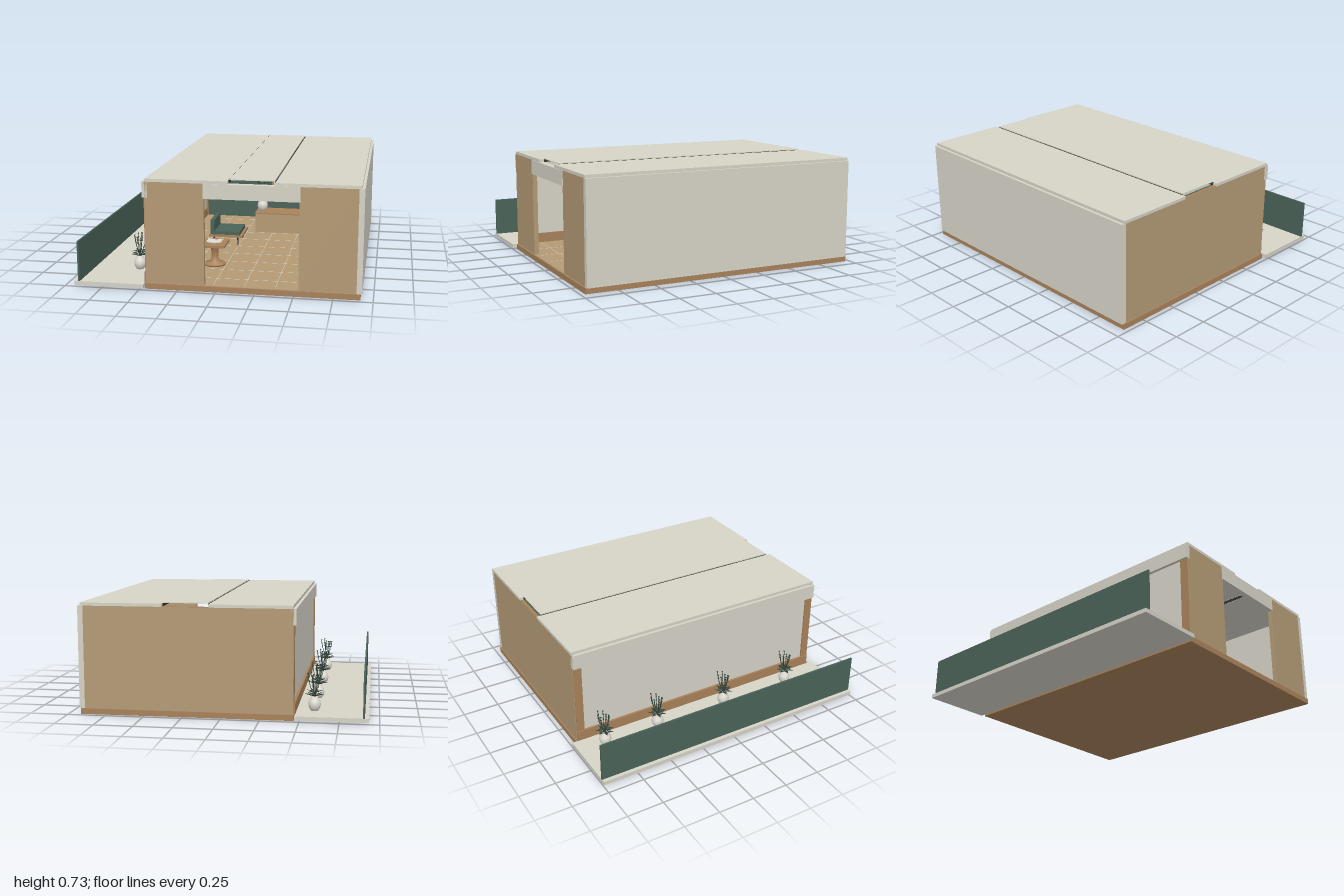
import * as THREE from 'three';

const mat = (name, color, side = THREE.FrontSide) => {
  const m = new THREE.MeshStandardMaterial({ color, side });
  m.name = name;
  return m;
};

export function createModel() {
  const root = new THREE.Group();
  root.name = 'pavilion';
  const stone = mat('pale stone', 0xd6d3c7);
  const tan = mat('tan panel', 0xb39a75);
  const wood = mat('wood', 0xa8825a);
  const green = mat('deep green', 0x4a6358);
  const leafMat = mat('leaf green', 0x34463d, THREE.DoubleSide);
  const white = mat('porcelain', 0xdedbd2);
  const dark = mat('dark metal', 0x33352f);

  const add = (parent, name, geo, material, x = 0, y = 0, z = 0) => {
    const m = new THREE.Mesh(geo, material);
    m.name = name;
    m.position.set(x, y, z);
    parent.add(m);
    return m;
  };
  // box given by its min and max on each axis
  const box = (name, material, x0, x1, y0, y1, z0, z1, parent = root) =>
    add(parent, name, new THREE.BoxGeometry(x1 - x0, y1 - y0, z1 - z0), material,
      (x0 + x1) / 2, (y0 + y1) / 2, (z0 + z1) / 2);

  // base, floor joints and terrace
  box('base', wood, -0.465, 0.92, 0, 0.037, -0.97, 0.97);
  box('floor', tan, -0.44, 0.89, 0.037, 0.04, -0.93, 0.965);
  for (let i = 0; i < 6; i++) {
    const x = -0.22 + i * 0.2;
    box('floorJoint', stone, x - 0.0015, x + 0.0015, 0.04, 0.041, -0.9, 0.93);
  }
  for (let i = 0; i < 9; i++) {
    const z = -0.8 + i * 0.2;
    box('floorJoint', stone, -0.43, 0.88, 0.04, 0.041, z - 0.0015, z + 0.0015);
  }
  box('terrace', stone, -0.935, -0.47, 0.01, 0.037, -1, 1);
  box('terraceScreen', green, -0.909, -0.897, 0.037, 0.305, -1, 1);

  // outer walls
  box('sideWall', stone, 0.895, 0.93, 0.037, 0.707, -0.962, 0.962);
  box('backWall', tan, -0.46, 0.895, 0.037, 0.707, -0.962, -0.94);
  box('backWallCap', wood, 0.075, 0.38, 0.707, 0.709, -0.962, -0.938);
  box('frontWall', tan, -0.46, -0.075, 0.037, 0.707, 0.93, 0.962);
  box('frontWall', tan, 0.53, 0.895, 0.037, 0.707, 0.93, 0.962);
  box('doorHeader', stone, -0.08, 0.535, 0.61, 0.707, 0.925, 0.967);

  // terrace side: header, sill, posts and window panel
  box('windowHeader', stone, -0.477, -0.44, 0.605, 0.707, -0.962, 0.962);
  box('windowSill', wood, -0.472, -0.44, 0.037, 0.108, -0.955, 0.955);
  for (const z of [-0.93, 0.93])
    box('windowPost', wood, -0.465, -0.435, 0.037, 0.607, z - 0.028, z + 0.028);
  box('windowPanel', stone, -0.456, -0.45, 0.105, 0.61, -0.905, 0.905);

  // roof slabs with a raised strip over the slot
  box('roofSlab', stone, -0.457, 0.078, 0.707, 0.727, -0.967, 0.962);
  box('roofSlab', stone, 0.377, 0.912, 0.707, 0.727, -0.967, 0.962);
  for (const x of [0.08, 0.375])
    box('slotTrim', dark, x - 0.003, x + 0.003, 0.709, 0.728, -0.938, 0.93);
  box('skylightPanel', stone, 0.084, 0.371, 0.729, 0.734, -0.937, 0.932);

  // inner feature wall and framed landscape
  box('featureWall', green, -0.44, 0.895, 0.04, 0.706, -0.939, -0.92);
  const picture = new THREE.Group();
  picture.name = 'picture';
  picture.position.set(0.23, 0.383, -0.92);
  root.add(picture);
  for (const s of [-1, 1]) {
    box('frameSide', wood, s * 0.114 - 0.007, s * 0.114 + 0.007, -0.15, 0.15, 0, 0.02, picture);
    box('frameRail', wood, -0.107, 0.107, s * 0.143 - 0.007, s * 0.143 + 0.007, 0, 0.02, picture);
  }
  box('canvas', white, -0.107, 0.107, -0.136, 0.136, 0, 0.008, picture);
  const hills = new THREE.Shape([[-0.107, -0.065], [-0.07, -0.05], [-0.03, -0.045], [0.01, -0.01],
    [0.05, 0.005], [0.107, -0.03], [0.107, -0.075], [0.06, -0.062], [0.02, -0.075],
    [-0.03, -0.06], [-0.07, -0.075]].map(p => new THREE.Vector2(...p)));
  add(picture, 'paintedHills', new THREE.ShapeGeometry(hills), green, 0, 0, 0.0095);

  // reception desk
  box('deskBody', tan, 0.045, 0.412, 0.04, 0.188, -0.6, -0.42);
  box('deskTop', wood, 0.04, 0.417, 0.188, 0.196, -0.605, -0.415);

  // seats on both sides
  for (const s of [-1, 1]) {
    const seat = new THREE.Group();
    seat.name = 'seat';
    seat.position.set(0.23 + s * 0.345, 0.04, -0.12);
    root.add(seat);
    box('seatBoard', wood, -0.125, 0.125, 0.065, 0.08, -0.13, 0.13, seat);
    box('seatCushion', green, -0.105, 0.105, 0.08, 0.105, -0.12, 0.12, seat);
    box('seatBack', green, s * 0.1 - 0.015, s * 0.1 + 0.015, 0.08, 0.19, -0.12, 0.12, seat);
    for (const x of [-0.09, 0.09]) for (const z of [-0.11, 0.11])
      add(seat, 'seatLeg', new THREE.CylinderGeometry(0.006, 0.004, 0.066, 8), dark, x, 0.033, z);
  }

  // pedestal table with an open book
  const table = new THREE.Group();
  table.name = 'table';
  table.position.set(-0.1, 0.04, 0.485);
  root.add(table);
  const pedestal = [[0, 0], [0.075, 0], [0.075, 0.012], [0.03, 0.025], [0.022, 0.07], [0.028, 0.12], [0.05, 0.142], [0, 0.142]];
  add(table, 'tablePedestal', new THREE.LatheGeometry(pedestal.map(p => new THREE.Vector2(...p)), 24), wood);
  box('tableTop', wood, -0.085, 0.085, 0.142, 0.158, -0.1, 0.1, table);
  for (const s of [-1, 1]) {
    const page = box('bookPage', white, -0.026, 0.026, 0, 0.006, -0.04, 0.04, table);
    page.position.set(s * 0.026, 0.166, 0);
    page.rotation.z = s * 0.15;
  }

  // potted plants
  const vaseGeo = new THREE.LatheGeometry([[0, 0], [0.024, 0], [0.036, 0.02], [0.041, 0.042], [0.036, 0.065],
    [0.022, 0.084], [0.024, 0.094], [0.018, 0.094], [0.016, 0.08], [0, 0.08]].map(p => new THREE.Vector2(...p)), 24);
  // pointed leaf folded along its midrib, growing along +z
  const leafGeo = new THREE.BufferGeometry();
  leafGeo.setAttribute('position', new THREE.Float32BufferAttribute(
    [0, 0, 0, -0.012, 0.018, 0.035, 0, 0.012, 0.036, 0.012, 0.018, 0.035, 0, 0.022, 0.07], 3));
  leafGeo.setIndex([0, 2, 1, 0, 3, 2, 1, 2, 4, 2, 3, 4]);
  leafGeo.computeVertexNormals();
  const budGeo = new THREE.SphereGeometry(0.005, 6, 4);

  const plant = (x, y, z) => {
    const g = new THREE.Group();
    g.name = 'pottedPlant';
    g.position.set(x, y, z);
    root.add(g);
    add(g, 'vase', vaseGeo, white);
    for (let i = 0; i < 14; i++) {
      const leaf = add(g, 'leaf', leafGeo, leafMat, 0, i % 2 ? 0.115 : 0.09, 0);
      leaf.rotation.y = i * Math.PI * 2 / 14 * 3;
      leaf.scale.setScalar(i % 2 ? 0.75 : 0.95);
    }
    for (let i = 0; i < 8; i++) {
      const a = i * 2.4, r = 0.02 + 0.035 * ((i * 3) % 8) / 8, h = 0.25 - 0.035 * ((i * 5) % 8) / 8;
      const c = Math.cos(a), s = Math.sin(a);
      const curve = new THREE.QuadraticBezierCurve3(new THREE.Vector3(0, 0.085, 0),
        new THREE.Vector3(c * r * 0.8, 0.16, s * r * 0.8), new THREE.Vector3(c * r, h, s * r));
      add(g, 'stem', new THREE.TubeGeometry(curve, 6, 0.002, 5), leafMat);
      for (const t of [0.7, 0.85, 1]) {
        const p = curve.getPoint(t);
        const bud = add(g, 'bud', budGeo, leafMat, p.x, p.y, p.z);
        bud.scale.set(1.2, 0.8, 1.2);
      }
    }
  };
  for (const z of [-0.81, -0.41, 0.125, 0.66]) plant(-0.585, 0.037, z);
  plant(0.087, 0.196, -0.51);

  return root;
}
